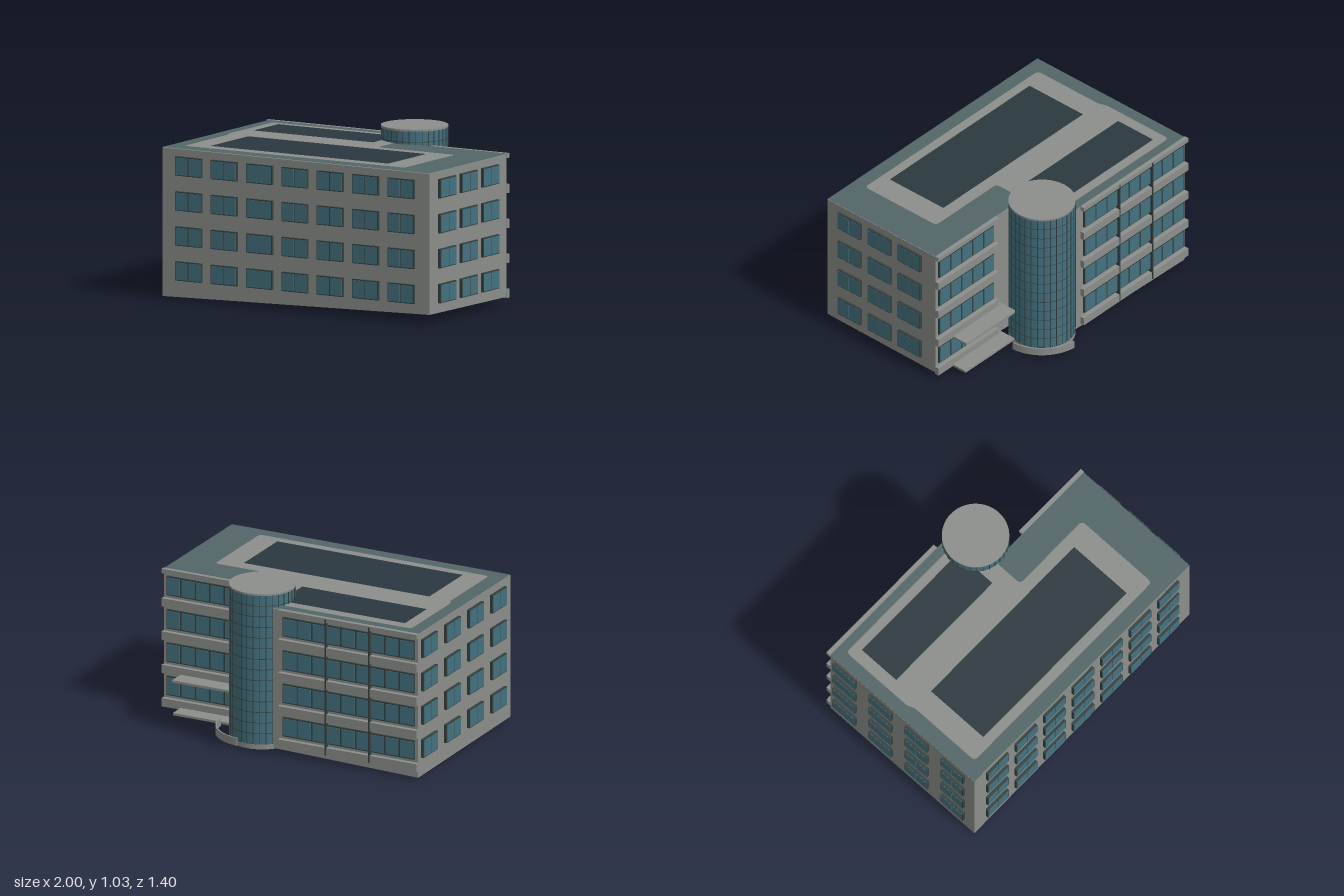
import * as THREE from 'three';

const mat = (name, color, side = THREE.FrontSide) => {
  const m = new THREE.MeshStandardMaterial({ color, side });
  m.name = name;
  return m;
};

export function createModel() {
  const model = new THREE.Group();
  model.name = 'officeBuilding';

  const wall = mat('wallGrey', 0x8b8e8b, THREE.DoubleSide);
  const roofTeal = mat('roofTeal', 0x526668);
  const glass = mat('glassBlue', 0x44717f);
  const frame = mat('frameDark', 0x35413f);
  const panel = mat('roofPanelDark', 0x2b383f);

  const add = (name, geo, material, parent = model) => {
    const m = new THREE.Mesh(geo, material);
    m.name = name;
    parent.add(m);
    return m;
  };
  const box = (name, x0, x1, y0, y1, z0, z1, material, parent = model) => {
    const m = add(name, new THREE.BoxGeometry(x1 - x0, y1 - y0, z1 - z0), material, parent);
    m.position.set((x0 + x1) / 2, (y0 + y1) / 2, (z0 + z1) / 2);
    return m;
  };
  // Plan shapes are given as [x, z] corners
  const plan = (pts) => new THREE.Shape(pts.map(([x, z]) => new THREE.Vector2(x, -z)));
  const flat = (name, shape, y, material) =>
    add(name, new THREE.ShapeGeometry(shape, 8).rotateX(-Math.PI / 2).translate(0, y, 0), material);

  const TOP = 0.93, LEFT = -0.955, RIGHT = 0.968, FRONT = 0.633, BACK_L = -0.57, BACK_R = -0.25;
  const TX = 0.194, TZ = -0.43, TR = 0.203; // tower centre and radius

  // L-shaped body, its underside following the sloping ground
  const outline = plan([[LEFT, FRONT], [RIGHT, FRONT], [RIGHT, BACK_R], [0.2, BACK_R], [0.2, BACK_L], [LEFT, BACK_L]]);
  const body = new THREE.ExtrudeGeometry(outline, { depth: TOP, bevelEnabled: false }).rotateX(-Math.PI / 2);
  const p = body.attributes.position;
  for (let i = 0; i < p.count; i++) {
    if (p.getY(i) < 0.01) p.setY(i, 0.012 + 0.0245 * (p.getX(i) - LEFT) + 0.01 * (p.getZ(i) - FRONT));
  }
  body.computeVertexNormals();
  add('walls', body, wall);

  // Roof covering, walkway with rounded corners, and dark roof fields
  flat('roof', outline, TOP + 0.003, roofTeal);
  const path = new THREE.Shape();
  const corners = [[-0.855, 0.541], [0.728, 0.541], [0.728, -0.04], [0.175, -0.04], [0.175, -0.51],
    [-0.875, -0.51], [-0.875, 0.0], [-0.855, 0.04]];
  corners.forEach(([x, z], i) => {
    const c = new THREE.Vector2(x, -z);
    const toward = (j) => {
      const [qx, qz] = corners[(j + corners.length) % corners.length];
      const d = new THREE.Vector2(qx, -qz).sub(c);
      return c.clone().add(d.setLength(Math.min(0.03, d.length() * 0.4)));
    };
    const a = toward(i - 1), b = toward(i + 1);
    if (i === 0) path.moveTo(a.x, a.y); else path.lineTo(a.x, a.y);
    path.quadraticCurveTo(c.x, c.y, b.x, b.y);
  });
  path.closePath();
  flat('roofWalkway', path, TOP + 0.006, wall);
  flat('roofFieldBack', plan([[-0.80, -0.165], [0.06, -0.165], [0.06, -0.45], [-0.80, -0.45]]), TOP + 0.009, panel);
  flat('roofFieldFront', plan([[-0.708, 0.477], [0.572, 0.477], [0.572, 0.04], [-0.708, 0.04]]), TOP + 0.009, panel);

  // Two-pane windows on the front and both ends
  const ROWS = [0.178, 0.394, 0.610, 0.826];
  const W = 0.186, H = 0.118;
  const frameGeo = new THREE.BoxGeometry(W, H, 0.018);
  const paneGeo = new THREE.BoxGeometry(W / 2 - 0.008, H - 0.012, 0.004);
  const window2 = (x, y, z, turn) => {
    const g = new THREE.Group();
    g.name = 'window';
    g.position.set(x, y, z);
    g.rotation.y = turn;
    add('windowFrame', frameGeo, frame, g).position.z = 0.009;
    for (const s of [-1, 1]) add('windowPane', paneGeo, glass, g).position.set(s * (W / 4 - 0.001), 0, 0.019);
    model.add(g);
  };
  for (const y of ROWS) {
    for (let i = 0; i < 7; i++) window2(-0.759 + 0.2545 * i, y, FRONT, 0);
    for (let i = 0; i < 3; i++) window2(RIGHT, y, 0.444 - 0.246 * i, Math.PI / 2);
    for (let i = 0; i < 4; i++) window2(LEFT, y, 0.46 - 0.3 * i, -Math.PI / 2);
  }

  // Rear facades: ribbon windows between projecting ledges
  const rear = (x0, x1, z, panes) => {
    const a = x0 + 0.025, b = x1 - 0.025, step = (b - a) / panes;
    for (const y of ROWS) {
      box('ribbonFrame', a, b, y - 0.062, y + 0.062, z - 0.012, z, frame);
      for (let i = 0; i < panes; i++) {
        box('ribbonPane', a + i * step + 0.006, a + (i + 1) * step - 0.006,
          y - 0.054, y + 0.054, z - 0.016, z - 0.011, glass);
      }
    }
    for (let k = 0; k < 5; k++) {
      const y = 0.07 + 0.216 * k;
      box('ledge', x0, x1, y - 0.027, Math.min(y + 0.027, TOP + 0.006), z - 0.028, z, wall);
    }
  };
  rear(LEFT - 0.004, 0.0, BACK_L, 9);
  rear(0.42, RIGHT + 0.004, BACK_R, 5);
  for (const x of [-0.63, -0.33]) box('rearDivider', x - 0.004, x + 0.004, 0.05, TOP, BACK_L - 0.031, BACK_L, frame);

  // Entrance canopy and step
  box('canopy', 0.39, 0.84, 0.255, 0.27, -0.39, BACK_R, wall);
  box('entranceStep', 0.39, 0.84, 0.04, 0.055, -0.38, BACK_R, wall);

  // Round glazed tower
  const tower = new THREE.Group();
  tower.name = 'tower';
  tower.position.set(TX, 0, TZ);
  model.add(tower);
  const drum = (name, r, y0, y1, material, open) => {
    const m = add(name, new THREE.CylinderGeometry(r, r, y1 - y0, 48, 1, open), material, tower);
    m.position.y = (y0 + y1) / 2;
  };
  drum('towerBase', TR + 0.002, 0.018, 0.05, wall, true);
  drum('towerGlass', TR, 0.05, 1.013, glass, true);
  drum('towerCap', TR + 0.003, 1.013, 1.025, wall, false);
  for (let k = 1; k <= 13; k++) drum('towerRing', TR + 0.002, 0.05 + k * 0.069 - 0.002, 0.05 + k * 0.069 + 0.002, frame, true);
  const barGeo = new THREE.BoxGeometry(0.004, 0.963, 0.006);
  for (let i = 0; i < 32; i++) {
    const a = (i / 32) * Math.PI * 2;
    const bar = add('towerMullion', barGeo, frame, tower);
    bar.position.set(Math.sin(a) * TR, 0.5315, Math.cos(a) * TR);
    bar.rotation.y = a;
  }

  // Low curved wall beside the tower
  const arc = new THREE.Shape();
  arc.absarc(0, 0, 0.288, 0.05, 1.48, false);
  arc.absarc(0, 0, 0.279, 1.48, 0.05, true);
  const arcGeo = new THREE.ExtrudeGeometry(arc, { depth: 0.05, bevelEnabled: false, curveSegments: 20 });
  add('curvedWall', arcGeo.rotateX(-Math.PI / 2).translate(0, 0.055, 0), wall, tower);

  // The building stands slightly turned on its plot
  model.rotation.y = -0.05;
  const root = new THREE.Group();
  root.name = 'building';
  root.add(model);
  return root;
}
